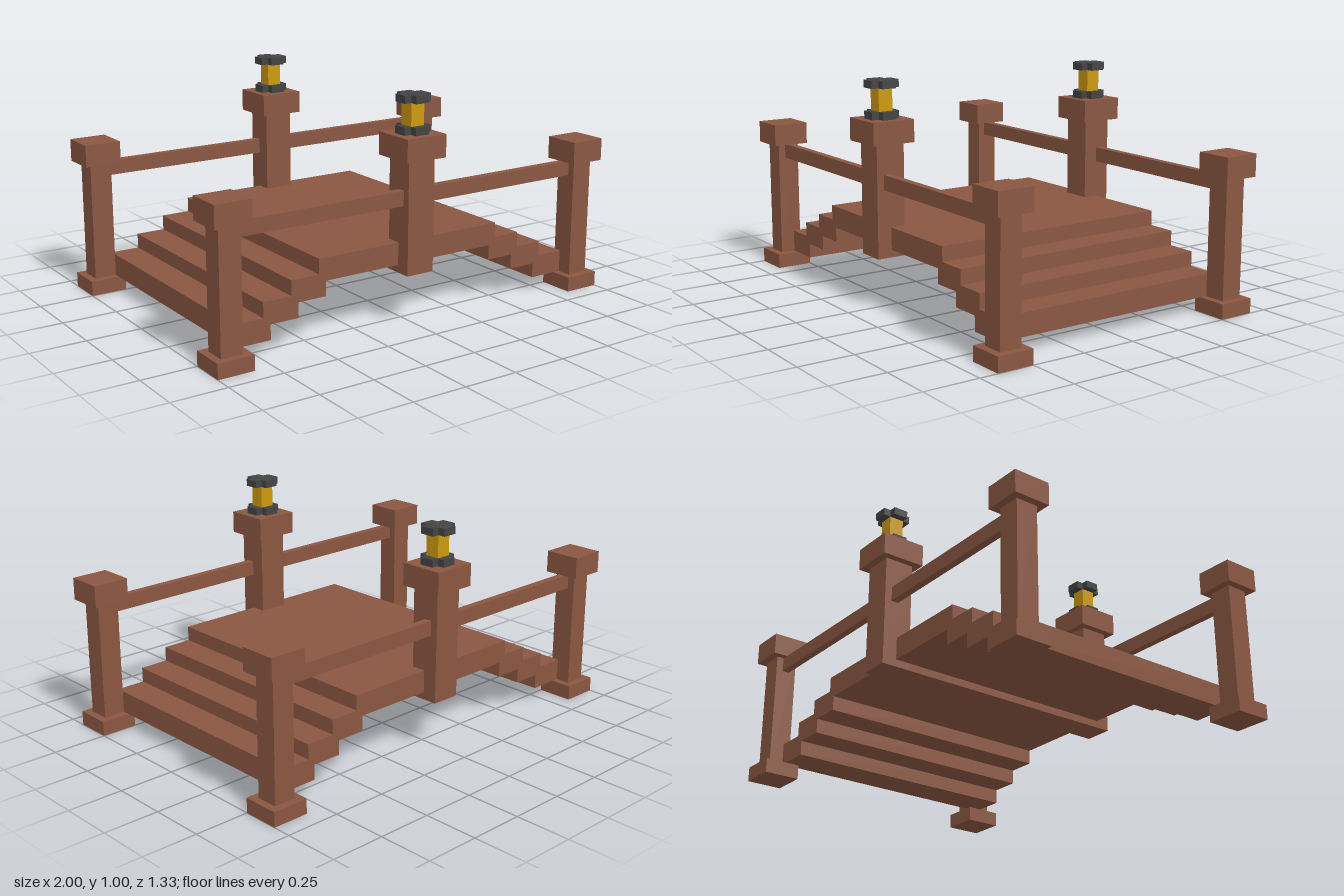
import * as THREE from 'three';

const U = 1 / 30; // building unit

export function createModel() {
  const model = new THREE.Group();
  model.name = 'footbridge';

  const material = (name, color) => {
    const m = new THREE.MeshStandardMaterial({ color });
    m.name = name;
    return m;
  };
  const wood = material('wood', 0x8b5742);
  const iron = material('darkIron', 0x444444);
  const glow = material('amberGlass', 0xcc9a10);

  // Box given by its limits in building units
  const box = (parent, name, mat, x0, x1, y0, y1, z0, z1) => {
    const mesh = new THREE.Mesh(
      new THREE.BoxGeometry((x1 - x0) * U, (y1 - y0) * U, (z1 - z0) * U), mat);
    mesh.position.set((x0 + x1) * U / 2, (y0 + y1) * U / 2, (z0 + z1) * U / 2);
    mesh.name = name;
    parent.add(mesh);
  };

  // Deck and the cross beam beneath it
  box(model, 'deck', wood, -14, 14, 8, 11, -17, 17);
  box(model, 'crossBeam', wood, -2, 2, 7, 8, -15, 15);

  // Three overlapping steps at each end
  for (const s of [-1, 1]) {
    for (let i = 0; i < 3; i++) {
      const a = s * (13 + 4 * i), b = s * (18 + 4 * i);
      box(model, 'step', wood, Math.min(a, b), Math.max(a, b), 6 - 2 * i, 9 - 2 * i, -17, 17);
    }
  }

  // Plus-shaped lantern plate
  const plus = new THREE.Shape([
    [-1, -2], [1, -2], [1, -1], [2, -1], [2, 1], [1, 1],
    [1, 2], [-1, 2], [-1, 1], [-2, 1], [-2, -1], [-1, -1],
  ].map(([x, y]) => new THREE.Vector2(x * U, y * U)));
  const plateGeometry = new THREE.ExtrudeGeometry(plus, { depth: U, bevelEnabled: false });
  plateGeometry.rotateX(-Math.PI / 2);

  for (const side of [-1, 1]) {
    const zBox = (parent, name, mat, x0, x1, y0, y1, z0, z1) =>
      box(parent, name, mat, x0, x1, y0, y1,
        Math.min(side * z0, side * z1), Math.max(side * z0, side * z1));

    // Corner posts with foot and cap, and the rails to the middle post
    for (const s of [-1, 1]) {
      const post = new THREE.Group();
      post.name = 'cornerPost';
      model.add(post);
      const xBox = (parent, name, x0, x1, ...rest) =>
        zBox(parent, name, wood, Math.min(s * x0, s * x1), Math.max(s * x0, s * x1), ...rest);
      xBox(post, 'foot', 25, 30, 0, 2, 15, 20);
      xBox(post, 'shaft', 26, 29, 2, 18, 16, 19);
      xBox(post, 'cap', 25, 30, 18, 21, 15, 20);
      xBox(model, 'rail', 2, 26, 16, 18, 17, 18);
    }

    // Middle post
    const middle = new THREE.Group();
    middle.name = 'middlePost';
    model.add(middle);
    zBox(middle, 'shaft', wood, -2, 2, 7, 22, 15, 19);
    zBox(middle, 'cap', wood, -3, 3, 22, 25, 14, 20);

    // Lantern on top
    const lantern = new THREE.Group();
    lantern.name = 'lantern';
    model.add(lantern);
    zBox(lantern, 'lanternGlass', glow, -1, 1, 26, 29, 16, 18);
    for (const y of [25, 29]) {
      const plate = new THREE.Mesh(plateGeometry, iron);
      plate.position.set(0, y * U, side * 17 * U);
      plate.name = y === 25 ? 'lanternBase' : 'lanternTop';
      lantern.add(plate);
    }
  }
  return model;
}
